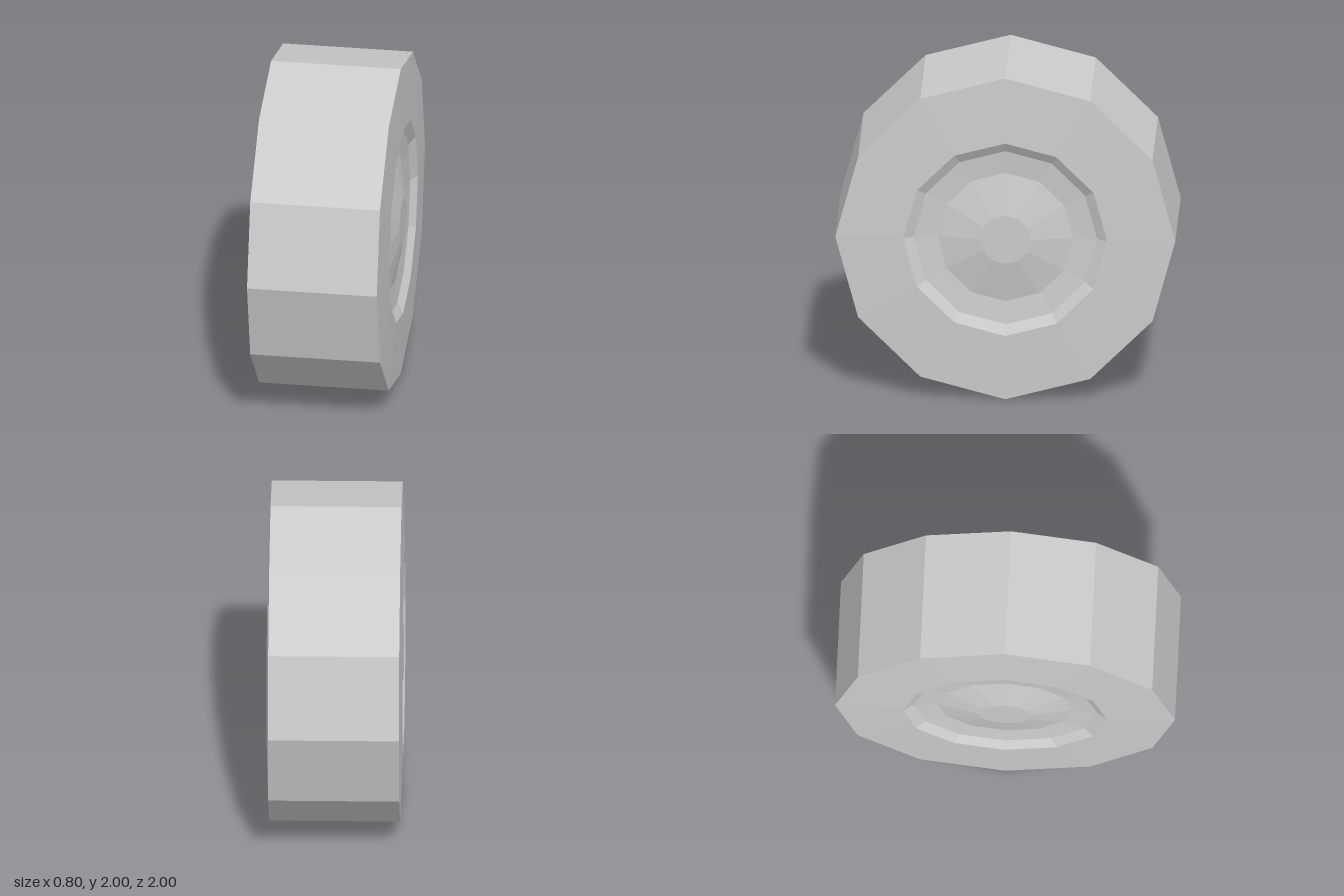
import * as THREE from 'three';

const SIDES = 12;

export function createModel() {
  const model = new THREE.Group();
  model.name = 'wheel';
  const material = new THREE.MeshStandardMaterial({ color: 0xcccccc, flatShading: true });

  // Revolves [radius, offset along axle] points
  const revolve = (name, points, parent) => {
    const profile = points.map(([r, h]) => new THREE.Vector2(r, h));
    const mesh = new THREE.Mesh(new THREE.LatheGeometry(profile, SIDES), material);
    mesh.name = name;
    parent.add(mesh);
    return mesh;
  };

  // Axle lies along x, wheel stands on the ground
  const wheel = new THREE.Group();
  wheel.name = 'wheelBody';
  wheel.rotation.z = -Math.PI / 2;
  wheel.position.y = 1;
  model.add(wheel);

  // Tyre: tread with slightly bulging sidewalls
  revolve('tyre', [[0.6, -0.4], [1, -0.385], [1, 0.385], [0.6, 0.4]], wheel);

  // Recessed rim and domed hub on both sides
  for (const side of [1, -1]) {
    const face = new THREE.Group();
    face.name = side > 0 ? 'leftFace' : 'rightFace';
    if (side < 0) face.rotation.x = Math.PI;
    wheel.add(face);
    revolve('rim', [[0.6, 0.4], [0.54, 0.363], [0.4, 0.35]], face);
    revolve('hub', [[0.4, 0.35], [0.15, 0.398], [0, 0.398]], face);
  }
  return model;
}
